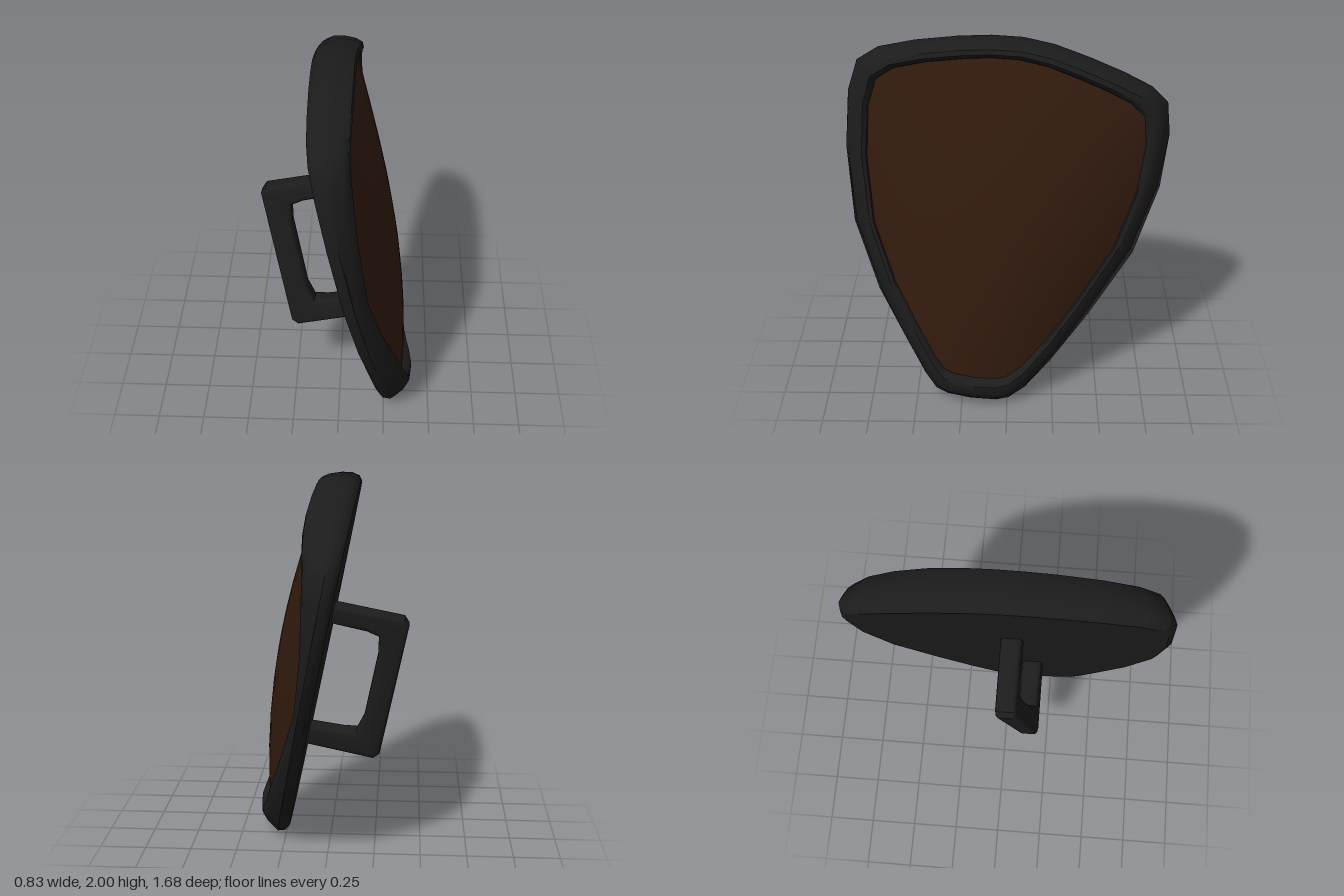
import * as THREE from 'three';
import { toCreasedNormals } from 'three/addons/utils/BufferGeometryUtils.js';

const TILT = Math.atan(0.2);
const SIN = Math.sin(TILT), COS = Math.cos(TILT);

// Outer contour as (z, height), clockwise seen from the convex side
const CONTOUR = [
  [0.84, 1.43], [0.82, 1.72], [0.77, 1.875], [0.66, 1.94], [0.47, 1.975], [0.25, 1.995], [0.08, 2],
  [-0.08, 1.99], [-0.24, 1.955], [-0.42, 1.89], [-0.6, 1.815], [-0.74, 1.745], [-0.825, 1.665],
  [-0.84, 1.5], [-0.8, 1.22], [-0.67, 0.86], [-0.44, 0.51], [-0.24, 0.24], [-0.1, 0.08], [-0.01, 0.015],
  [0.06, 0], [0.2, 0.015], [0.33, 0.04], [0.39, 0.07], [0.45, 0.16], [0.55, 0.36], [0.69, 0.65], [0.81, 1.03],
];

// Depth of the convex face above the flat back: a ridge, steeper towards the bottom
function dome(z, y) {
  const w = z - (0.2 - 0.13 * y);
  return 0.255 - 0.12 * (y - 1.1) ** 2 - (0.75 - 0.36 * y) * w * w;
}

// Height of the rim above the panel, larger at top and bottom
function lip(y) {
  return 0.03 + 0.022 * (y - 1.05) ** 2;
}

// Contour pulled towards the centre: t = 0 outer edge, t = 1 edge of the panel
function inset(t) {
  return CONTOUR.map(([z, y]) => {
    const ky = y > 1.08 ? 0.108 : 0.153;
    return [0.04 + (z - 0.04) * (1 - 0.148 * t), 1.08 + (y - 1.08) * (1 - ky * t)];
  });
}

// Contour shrunk from the panel edge to its centre
function shrink(f) {
  return inset(1).map(([z, y]) => [0.04 + (z - 0.04) * f, 1.08 + (y - 1.08) * f]);
}

// One closed ring in the tilted frame; depth(z, y) gives the height off the back
function ring(points, depth) {
  return points.map(([z, y]) => [depth(z, y), (y - SIN * (0.05 + 0.015 * y)) / COS, z]);
}

// Skin a stack of rings
function loft(rings, crease) {
  const n = rings[0].length, index = [];
  for (let i = 0; i < rings.length - 1; i++) {
    for (let j = 0; j < n; j++) {
      const k = (j + 1) % n;
      const a = i * n + j, b = i * n + k, c = b + n, d = a + n;
      index.push(a, d, c, a, c, b);
    }
  }
  const g = new THREE.BufferGeometry();
  g.setAttribute('position', new THREE.Float32BufferAttribute(rings.flat(2), 3));
  g.setIndex(index);
  return toCreasedNormals(g, crease);
}

export function createModel() {
  const dark = new THREE.MeshStandardMaterial({ color: 0x1c1c1c });
  const brown = new THREE.MeshStandardMaterial({ color: 0x331b0e });
  const shield = new THREE.Group();
  shield.name = 'shield';

  const add = (name, geometry, material) => {
    const mesh = new THREE.Mesh(geometry, material);
    mesh.name = name;
    shield.add(mesh);
    return mesh;
  };

  // Rounded rim: [inset, share of dome depth, share of lip, added depth]
  const section = [
    [0.3, 0, 0, 0], [0.08, 0, 0, 0.02], [0, 0, 0, 0.06], [0.08, 0.6, 0.5, 0], [0.28, 0.88, 0.8, 0],
    [0.5, 1, 1, 0], [0.75, 1, 1, 0], [0.92, 1, 0.5, 0], [1, 1, 0, -0.012],
  ];
  const rimRings = section.map(([t, domeShare, lipShare, extra]) =>
    ring(inset(t), (z, y) => domeShare * dome(z, y) + lipShare * lip(y) + extra));
  add('rim', loft(rimRings, 0.75), dark);
  add('backPlate', loft([ring(shrink(0), () => 0), ring(inset(0.3), () => 0)], 0.5), dark);

  // Convex panel inside the rim
  const panelRings = [1.01, 0.85, 0.65, 0.45, 0.25, 0.1, 0].map((f) => ring(shrink(f), dome));
  add('panel', loft(panelRings, 0.6), brown);

  // Bracket handle, drawn as (depth, height) and extruded sideways
  const outline = [
    [0.02, 1.335], [-0.37, 1.335], [-0.388, 1.315], [-0.388, 0.545], [-0.37, 0.525], [0.02, 0.53],
    [0.02, 0.6], [-0.19, 0.61], [-0.275, 0.625], [-0.303, 0.73], [-0.303, 1.13], [-0.283, 1.25],
    [-0.2, 1.27], [0.02, 1.275],
  ];
  const bracket = new THREE.ExtrudeGeometry(
    new THREE.Shape(outline.map(([x, y]) => new THREE.Vector2(x, y))),
    { depth: 0.06, bevelEnabled: true, bevelSize: 0.022, bevelThickness: 0.025, bevelSegments: 3 });
  bracket.translate(0, 0, -0.03);
  const handle = add('handle', toCreasedNormals(bracket, 0.6), dark);
  handle.rotation.x = -0.15;
  handle.position.set(0, 0.012, 0.22);

  // Lean the whole shield back
  shield.rotation.z = TILT;
  shield.position.x = 0.24;
  const model = new THREE.Group();
  model.name = 'leaningShield';
  model.add(shield);
  return model;
}
